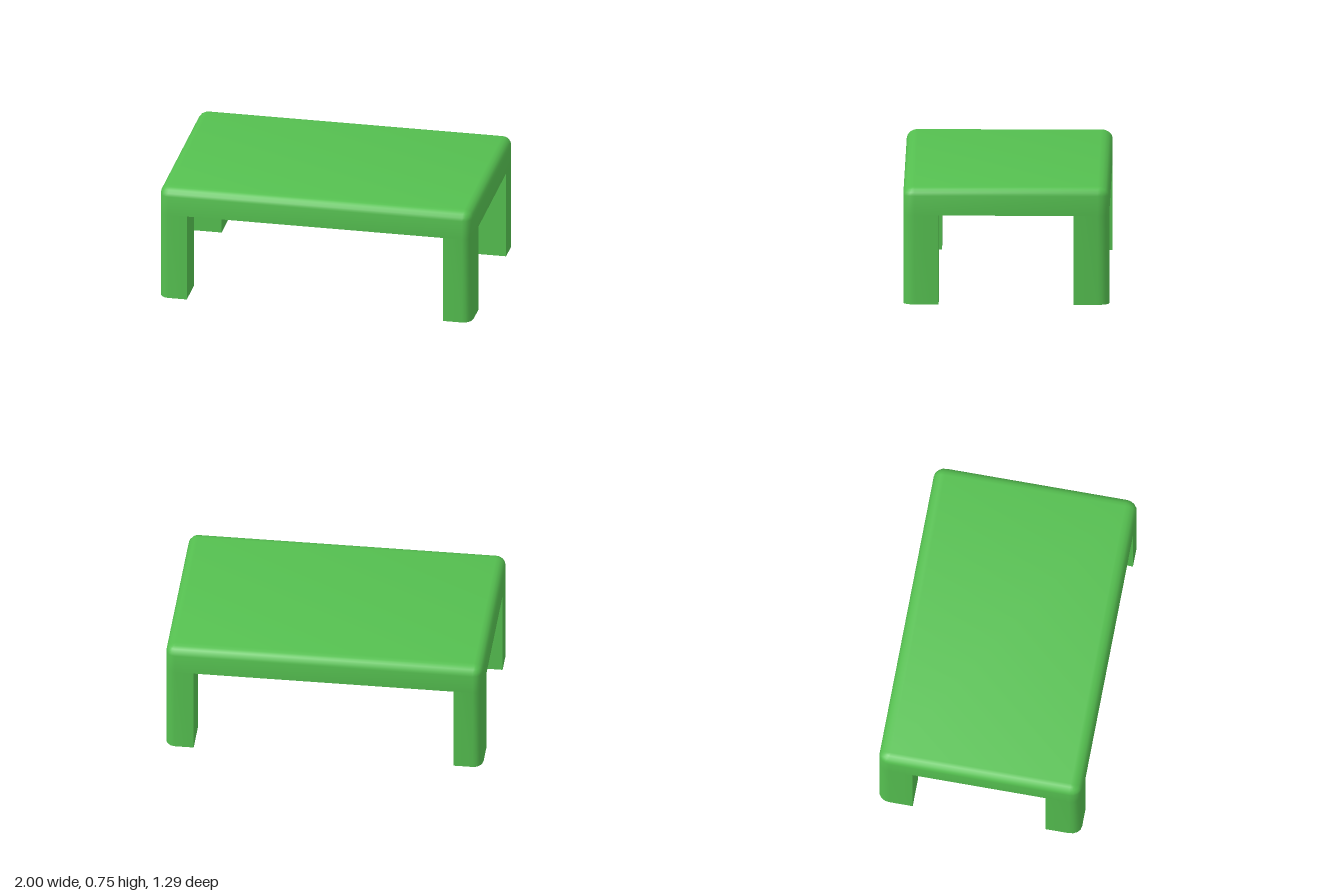
import * as THREE from 'three';
import { toCreasedNormals } from 'three/addons/utils/BufferGeometryUtils.js';

const HX = 1, HZ = 0.645, TOP = 0.745, UNDER = 0.567; // half width, half depth, heights
const RX = 0.06, RY = 0.055, RZ = 0.072;              // edge rounding along each axis
const LEG_X = 0.82, LEG_Z = 0.423;                    // inner faces of the legs
const SEG = 4, CREASE = 0.7;

// Tabletop: rounded-rectangle loops, straight up the apron, then curling in to the flat top
function tableTopGeometry() {
  const levels = [[UNDER, 1]];
  for (let i = 0; i <= SEG; i++) {
    const t = (i / SEG) * Math.PI / 2;
    levels.push([TOP - RY + RY * Math.sin(t), Math.cos(t)]);
  }
  const pos = [], idx = [], n = 4 * (SEG + 1);
  for (const [y, k] of levels) {
    for (let q = 0; q < 4; q++) {
      const sx = q === 0 || q === 3 ? 1 : -1, sz = q < 2 ? 1 : -1;
      for (let j = 0; j <= SEG; j++) {
        const a = (q + j / SEG) * Math.PI / 2;
        pos.push(sx * (HX - RX) + RX * k * Math.cos(a), y, sz * (HZ - RZ) + RZ * k * Math.sin(a));
      }
    }
  }
  for (let l = 0; l < levels.length - 1; l++) {
    for (let j = 0; j < n; j++) {
      const a = l * n + j, b = l * n + (j + 1) % n;
      idx.push(a, a + n, b, b, a + n, b + n);
    }
  }
  // Underside and top faces
  const last = (levels.length - 1) * n;
  for (let j = 1; j < n - 1; j++) {
    idx.push(0, j, j + 1, last, last + j + 1, last + j);
  }
  const geo = new THREE.BufferGeometry();
  geo.setAttribute('position', new THREE.Float32BufferAttribute(pos, 3));
  geo.setIndex(idx);
  return toCreasedNormals(geo, CREASE);
}

// Leg: square inside, rounded on the outer corner so it runs flush with the top
function legGeometry(sx, sz) {
  const pts = [[LEG_X, LEG_Z], [HX, LEG_Z]];
  for (let j = 0; j <= SEG; j++) {
    const a = (j / SEG) * Math.PI / 2;
    pts.push([HX - RX + RX * Math.cos(a), HZ - RZ + RZ * Math.sin(a)]);
  }
  pts.push([LEG_X, HZ]);
  const shape = new THREE.Shape(pts.map(([x, z]) => new THREE.Vector2(sx * x, -sz * z)));
  const geo = new THREE.ExtrudeGeometry(shape, { depth: UNDER, bevelEnabled: false });
  geo.rotateX(-Math.PI / 2);
  return toCreasedNormals(geo, CREASE);
}

export function createModel() {
  const group = new THREE.Group();
  group.name = 'table';
  const green = new THREE.MeshStandardMaterial({ color: 0x55c050 });
  const add = (name, geo) => {
    const mesh = new THREE.Mesh(geo, green);
    mesh.name = name;
    group.add(mesh);
  };

  add('tableTop', tableTopGeometry());
  for (const sx of [1, -1]) {
    for (const sz of [1, -1]) {
      add((sz > 0 ? 'front' : 'back') + (sx > 0 ? 'Left' : 'Right') + 'Leg', legGeometry(sx, sz));
    }
  }
  return group;
}
